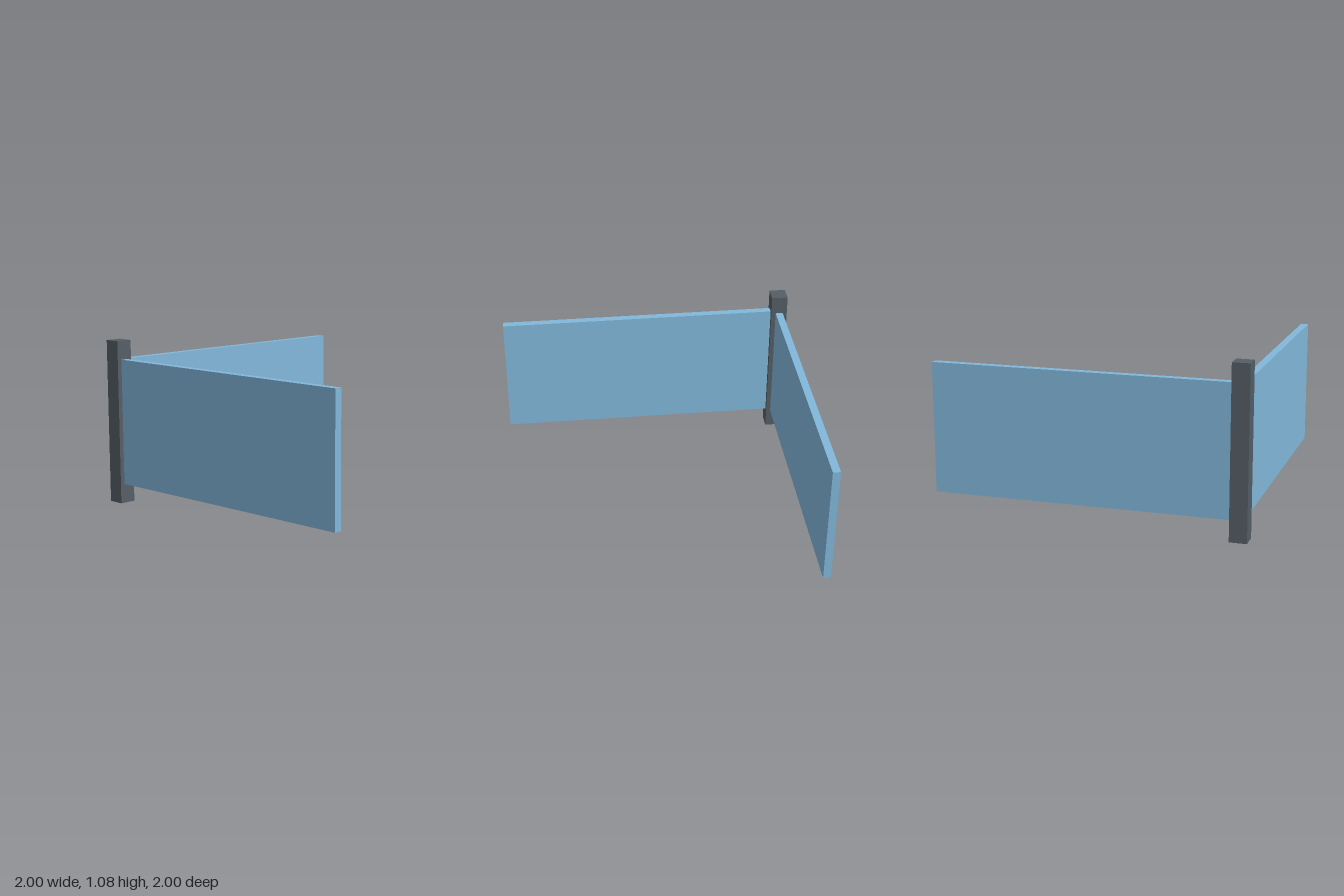
import * as THREE from 'three';

const POST = 0.11;        // square post width
const THICK = 0.05;       // panel thickness
const BOTTOM = 0.127, TOP = 0.957;

export function createModel() {
  const group = new THREE.Group();
  const postMaterial = new THREE.MeshStandardMaterial({ color: 0x555e66 });
  const panelMaterial = new THREE.MeshStandardMaterial({ color: 0x82b8db });

  // Box given by its minimum and maximum corners
  function addBox(name, min, max, material) {
    const a = new THREE.Vector3(...min), b = new THREE.Vector3(...max);
    const size = b.clone().sub(a);
    const mesh = new THREE.Mesh(new THREE.BoxGeometry(size.x, size.y, size.z), material);
    mesh.position.copy(a).add(b).multiplyScalar(0.5);
    mesh.name = name;
    group.add(mesh);
  }

  const inner = -1 + POST;                      // post face where panels begin
  const near = -1 + (POST - THICK) / 2;         // panels centred on the post
  const far = near + THICK;

  // Corner post
  addBox('cornerPost', [-1, 0, -1], [inner, 1.08, inner], postMaterial);
  // Two panels meeting at the post at a right angle
  addBox('backPanel', [inner, BOTTOM, near], [1, TOP, far], panelMaterial);
  addBox('sidePanel', [near, BOTTOM, inner], [far, TOP, 1], panelMaterial);

  return group;
}
